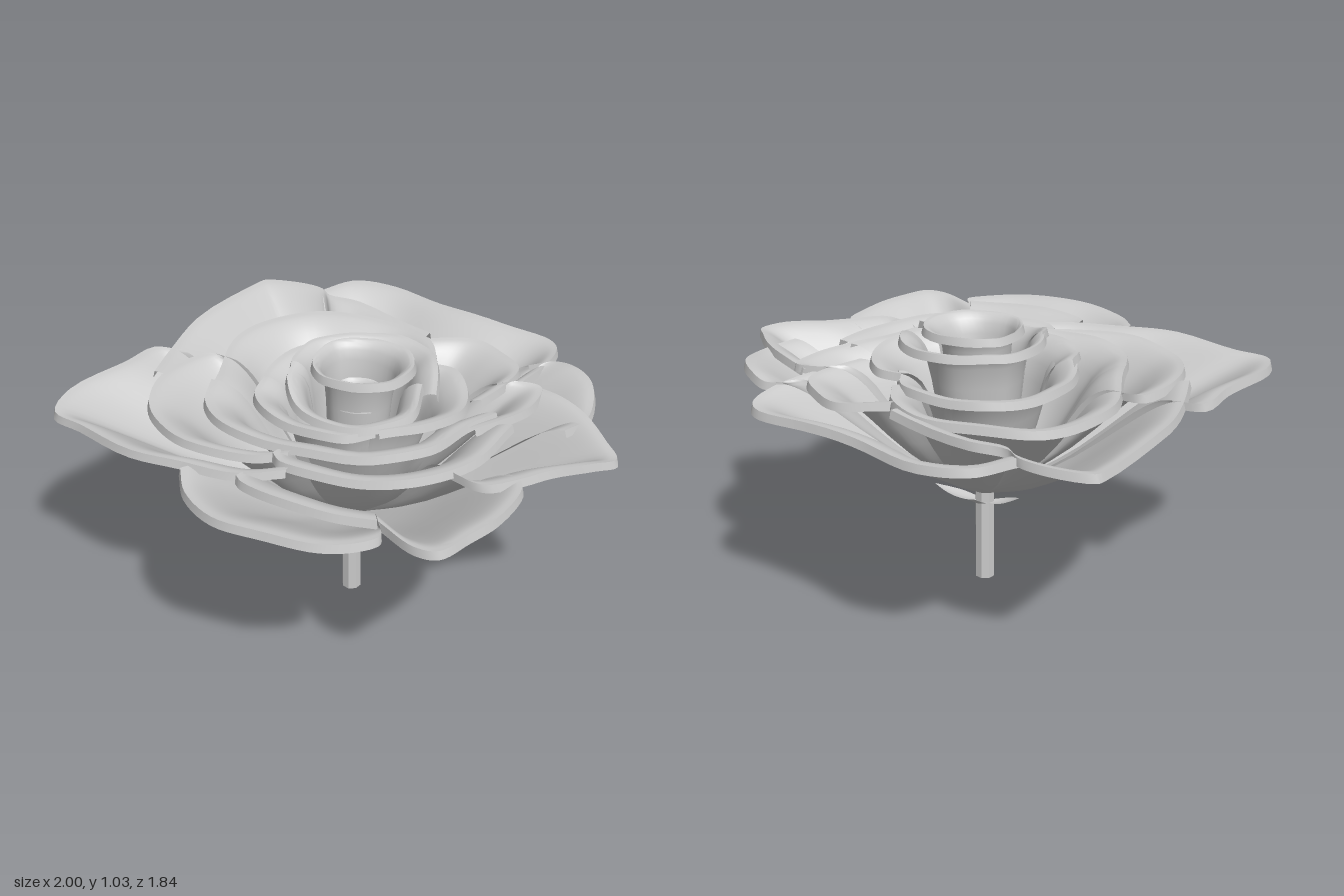
import * as THREE from 'three';
import { toCreasedNormals } from 'three/addons/utils/BufferGeometryUtils.js';

const material = new THREE.MeshStandardMaterial({ color: 0xcccccc, side: THREE.DoubleSide });
const BASE = 0.38, THROAT = 0.036;

// Surface from a grid of points: at(i, j) returns [x, y, z]
function surface(at, nu, nv) {
  const pos = [], idx = [];
  for (let i = 0; i <= nu; i++)
    for (let j = 0; j <= nv; j++) pos.push(...at(i, j));
  for (let i = 0; i < nu; i++)
    for (let j = 0; j < nv; j++) {
      const a = i * (nv + 1) + j, b = a + nv + 1;
      idx.push(a, a + 1, b, b, a + 1, b + 1);
    }
  const g = new THREE.BufferGeometry();
  g.setAttribute('position', new THREE.Float32BufferAttribute(pos, 3));
  g.setIndex(idx);
  return toCreasedNormals(g, 0.75);
}

// Petal: a rim path of [x, z, optional height change], swept down to the throat,
// flattened towards the rim and folded down at the very edge
function petal(group, name, top, rim, closed = false) {
  const path = new THREE.CatmullRomCurve3(
    rim.map(([x, z, dy = 0]) => new THREE.Vector3(x, top + dy, z)), closed, 'centripetal');
  const nu = 36, nv = 16;
  const sections = path.getPoints(nu).map((p) => {
    const r = Math.hypot(p.x, p.z), h = p.y - BASE;
    const lip = Math.min(0.12, r * 0.28);
    const y = p.y + 0.006 * Math.sin(9 * Math.atan2(p.z, p.x)) * r;
    const pts = new THREE.CatmullRomCurve3([
      [THROAT, BASE - 0.01],
      [THROAT + (r - THROAT) * 0.42, BASE + h * 0.38],
      [r - lip, y - lip * 0.35 / Math.sqrt(r)],
      [r - lip * 0.4, y - lip * 0.06],
      [r - 0.008, y],
    ].map(([a, b]) => new THREE.Vector3(a, b, 0)), false, 'centripetal').getPoints(nv - 1);
    pts.push(new THREE.Vector3(r, y - 0.03, 0));
    return { x: p.x / r, z: p.z / r, pts };
  });
  const mesh = new THREE.Mesh(surface((i, j) => {
    const s = sections[i], q = s.pts[j];
    return [s.x * q.x, q.y, s.z * q.x];
  }, nu, nv), material);
  mesh.name = name;
  group.add(mesh);
}

// Sepal: thin pointed leaf curving up from the stem
function sepal(group, angle, length) {
  const mesh = new THREE.Mesh(surface((i, j) => {
    const u = i / 8, w = 0.035 * Math.sin(Math.PI * (0.12 + 0.88 * u)) * (j / 2 - 1);
    return [0.02 + u * (length - 0.02), 0.325 + 0.05 * u * u + Math.abs(w) * 0.2, w];
  }, 8, 4), material);
  mesh.name = 'sepal';
  mesh.rotation.y = angle;
  group.add(mesh);
}

export function createModel() {
  const model = new THREE.Group();
  model.name = 'flower';

  // Hollow stem
  const stem = new THREE.Mesh(
    toCreasedNormals(new THREE.CylinderGeometry(0.038, 0.038, 0.39, 8, 1, true), 0.5), material);
  stem.name = 'stem';
  stem.position.y = 0.195;
  model.add(stem);

  [[0.1, 0.2], [2.9, 0.16], [-1.4, 0.2], [1.5, 0.11]].forEach(([a, l]) => sepal(model, a, l));

  // Outer petals
  const outer = new THREE.Group();
  outer.name = 'outerPetals';
  petal(outer, 'backLeftOuterPetal', 0.88, [[-0.76, 0.08], [-0.78, -0.1], [-0.78, -0.37], [-0.67, -0.78],
    [-0.65, -0.81], [-0.5, -0.82], [-0.39, -0.79], [-0.34, -0.74], [-0.2, -0.72], [0.15, -0.55]]);
  petal(outer, 'backOuterPetal', 0.875, [[-0.39, -0.78], [-0.28, -0.91], [-0.1, -0.92], [0.15, -0.81],
    [0.4, -0.73], [0.6, -0.67], [0.65, -0.6], [0.64, -0.45], [0.58, -0.28]]);
  petal(outer, 'rightBackOuterPetal', 0.885, [[0.58, -0.4], [0.67, -0.46], [0.76, -0.41, 0.015], [0.84, -0.3, 0.02],
    [0.86, -0.1], [0.8, 0.02]]);
  petal(outer, 'rightOuterPetal', 0.88, [[0.62, -0.27], [0.75, -0.19, 0.02], [0.85, -0.1, 0.02], [0.95, 0.04],
    [1.0, 0.13, -0.01], [0.93, 0.2], [0.8, 0.28], [0.72, 0.35], [0.6, 0.43], [0.46, 0.38]]);
  petal(outer, 'frontRightOuterPetal', 0.875, [[0.71, 0.34], [0.73, 0.4], [0.69, 0.6], [0.63, 0.72],
    [0.56, 0.83], [0.48, 0.83], [0.33, 0.73]]);
  petal(outer, 'frontOuterPetal', 0.875, [[-0.4, 0.65], [-0.33, 0.77], [-0.18, 0.88], [0, 0.91],
    [0.18, 0.91], [0.3, 0.86], [0.36, 0.8], [0.33, 0.73]]);
  petal(outer, 'frontInnerPetal', 0.885, [[-0.2, 0.64], [-0.17, 0.67], [-0.05, 0.72], [0.15, 0.75], [0.33, 0.74]]);
  petal(outer, 'leftOuterPetal', 0.88, [[-0.74, -0.12], [-0.85, -0.11], [-0.9, 0.05], [-1.0, 0.3], [-0.98, 0.45],
    [-0.85, 0.5], [-0.6, 0.61], [-0.4, 0.62], [-0.2, 0.62], [-0.05, 0.56]]);

  // Middle petals
  const middle = new THREE.Group();
  middle.name = 'middlePetals';
  petal(middle, 'leftMiddlePetal', 0.885, [[-0.53, -0.11], [-0.63, -0.12], [-0.7, 0], [-0.72, 0.15], [-0.68, 0.3],
    [-0.6, 0.4], [-0.45, 0.5], [-0.2, 0.51], [-0.08, 0.46]]);
  petal(middle, 'frontMiddlePetal', 0.89, [[-0.13, 0.48], [-0.08, 0.53], [0.2, 0.55], [0.4, 0.48], [0.55, 0.3], [0.62, 0.05]]);
  petal(middle, 'backMiddlePetal', 0.885, [[-0.5, 0.2], [-0.52, 0.05], [-0.57, -0.25], [-0.5, -0.45], [-0.37, -0.57],
    [-0.15, -0.6], [0.05, -0.57], [0.18, -0.47], [0.24, -0.33]]);
  petal(middle, 'backRightMiddlePetal', 0.885, [[0.17, -0.5], [0.35, -0.55], [0.47, -0.47], [0.55, -0.37], [0.53, -0.24], [0.47, -0.1]]);
  petal(middle, 'rightMiddlePetal', 0.89, [[0.5, -0.22], [0.57, -0.26], [0.66, -0.25], [0.65, -0.1], [0.58, 0.02], [0.5, 0.12]]);
  petal(middle, 'frontCupPetal', 0.9, [[-0.52, 0.1], [-0.48, 0.25], [-0.35, 0.38], [-0.1, 0.44], [0.2, 0.42],
    [0.38, 0.3], [0.47, 0.12], [0.55, 0]]);

  // Inner petals
  const inner = new THREE.Group();
  inner.name = 'innerPetals';
  petal(inner, 'backInnerPetal', 0.89, [[-0.28, 0.22, 0.02], [-0.35, 0.05], [-0.36, -0.1], [-0.3, -0.28], [-0.15, -0.4],
    [0.05, -0.4], [0.2, -0.33], [0.27, -0.2]]);
  petal(inner, 'rightInnerPetal', 0.91, [[0.23, -0.27], [0.33, -0.25], [0.42, -0.1], [0.43, 0.05], [0.34, 0.2, 0.02], [0.2, 0.3, 0.02]]);
  petal(inner, 'leftInnerPetal', 0.92, [[-0.33, 0.05], [-0.32, 0.17], [-0.23, 0.28], [-0.1, 0.34], [0.08, 0.35], [0.18, 0.28]]);
  petal(inner, 'backCorePetal', 1.0, [[-0.2, 0.12], [-0.23, 0], [-0.2, -0.15], [-0.1, -0.23], [0.1, -0.28],
    [0.25, -0.2], [0.31, -0.08], [0.34, 0.05, -0.04]]);
  petal(inner, 'frontCorePetal', 0.96, [[-0.21, 0.06, 0.05], [-0.2, 0.15, 0.04], [-0.13, 0.26], [0, 0.32, -0.02],
    [0.15, 0.31, -0.02], [0.29, 0.2], [0.29, 0.06, 0.04]]);
  petal(inner, 'coreCup', 1.03, [[-0.14, 0], [-0.1, -0.12], [0.05, -0.17], [0.19, -0.12], [0.24, 0],
    [0.2, 0.12], [0.1, 0.18], [-0.05, 0.17], [-0.12, 0.1]], true);
  petal(inner, 'coreBud', 0.9, [[-0.08, 0.02], [-0.04, -0.08], [0.07, -0.09], [0.14, 0], [0.1, 0.1], [-0.02, 0.11]], true);

  model.add(outer, middle, inner);
  return model;
}
